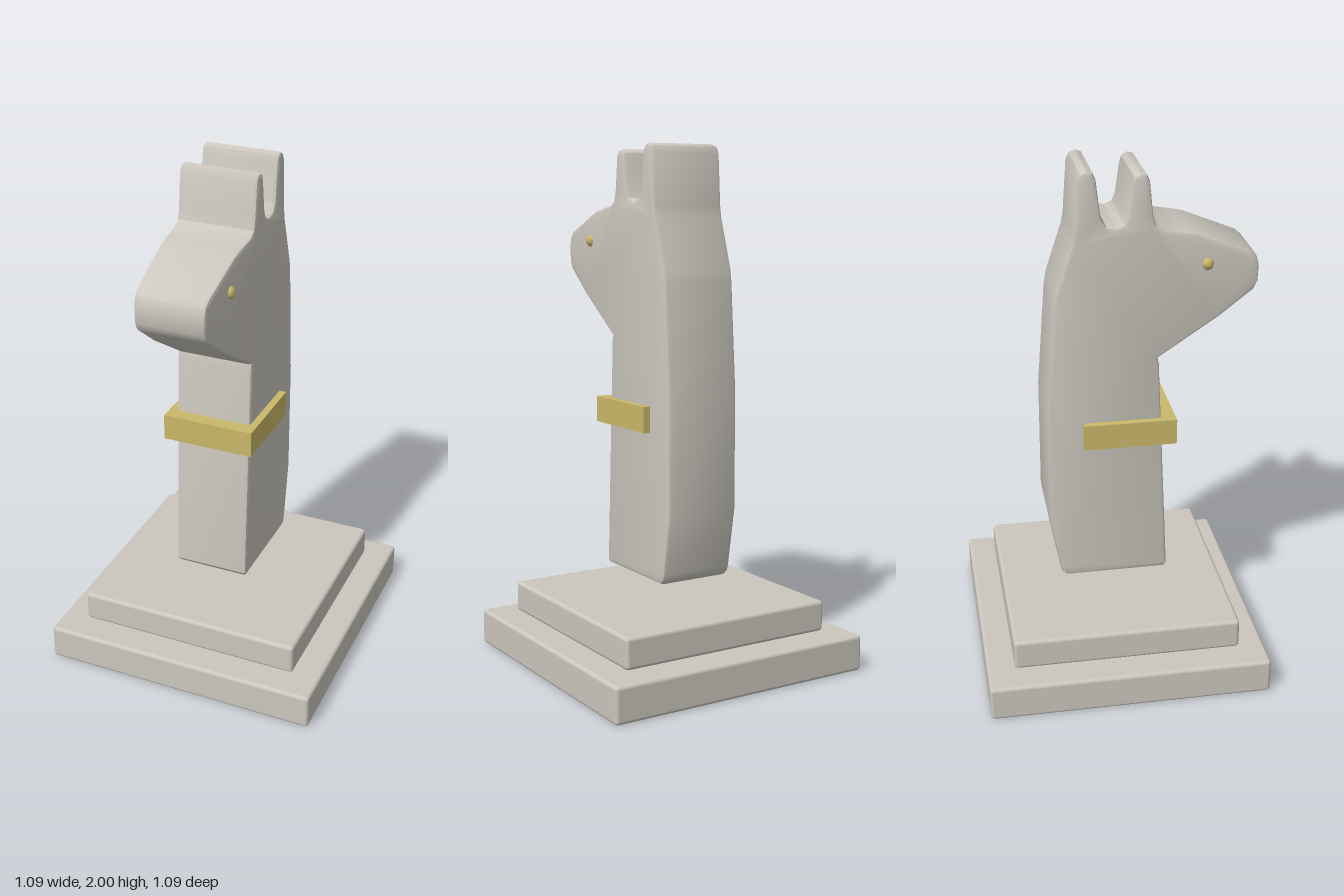
import * as THREE from 'three';
import { toCreasedNormals } from 'three/addons/utils/BufferGeometryUtils.js';
import { RoundedBoxGeometry } from 'three/addons/geometries/RoundedBoxGeometry.js';

export function createModel() {
  const stone = new THREE.MeshStandardMaterial({ color: 0xcbc7be });
  stone.name = 'stone';
  const gold = new THREE.MeshStandardMaterial({ color: 0xcab869 });
  gold.name = 'gold';
  const model = new THREE.Group();
  model.name = 'chessKnight';

  const add = (name, geometry, material, x, y, z) => {
    const mesh = new THREE.Mesh(geometry, material);
    mesh.name = name;
    mesh.position.set(x, y, z);
    model.add(mesh);
    return mesh;
  };

  // Two-step square base
  add('lowerBase', new RoundedBoxGeometry(1.09, 0.14, 1.09, 3, 0.014), stone, 0, 0.07, 0);
  add('upperBase', new RoundedBoxGeometry(0.88, 0.12, 0.88, 3, 0.014), stone, 0, 0.207, 0);

  // Horse silhouette as (z, y): neck front, jaw, muzzle, two ears, back
  const outline = [
    [0.195, 0.36], [0.206, 0.375], [0.163, 1.25], [0.158, 1.275], [0.14, 1.29],
    [0.39, 1.425], [0.515, 1.52], [0.53, 1.55], [0.532, 1.61], [0.522, 1.65], [0.5, 1.67],
    [0.3, 1.75], [0.25, 1.761], [0.17, 1.773], [0.145, 1.79], [0.133, 1.83],
    [0.12, 1.955], [0.108, 1.978], [0.085, 1.983], [0.065, 1.97], [0.057, 1.94],
    [0.042, 1.83], [0.028, 1.8], [0, 1.789], [-0.035, 1.795], [-0.055, 1.825],
    [-0.072, 1.965], [-0.083, 1.992], [-0.105, 2], [-0.128, 1.99], [-0.14, 1.965],
    [-0.153, 1.77], [-0.16, 1.73], [-0.222, 1.54], [-0.23, 1.49],
    [-0.26, 1.08], [-0.26, 0.63], [-0.22, 0.4], [-0.212, 0.375], [-0.195, 0.36],
  ];
  // The jaw corner is replaced by a soft inner curve at the throat
  const points = outline.filter((p) => p[0] !== 0.14).map(([z, y]) => new THREE.Vector2(-z, y));
  const bevel = 0.014;
  let horse = new THREE.ExtrudeGeometry(new THREE.Shape(points), {
    depth: 0.3 - 2 * bevel, bevelEnabled: true, bevelThickness: bevel,
    bevelSize: bevel, bevelOffset: -bevel, bevelSegments: 2,
  });
  horse.translate(0, 0, -0.15 + bevel).rotateY(Math.PI / 2);

  // Narrow the head gently towards the muzzle
  const pos = horse.attributes.position;
  for (let i = 0; i < pos.count; i++) {
    const t = THREE.MathUtils.clamp((pos.getZ(i) - 0.17) / 0.36, 0, 1);
    pos.setX(i, pos.getX(i) * (1 - 0.11 * t));
  }
  horse = toCreasedNormals(horse, 0.6);
  add('horseHeadAndNeck', horse, stone, 0, 0, 0);

  // Collar around the front of the neck
  add('collar', new THREE.BoxGeometry(0.356, 0.1, 0.355), gold, 0, 0.98, 0.052);

  // Small bead eyes
  for (const [name, side] of [['leftEye', 1], ['rightEye', -1]]) {
    add(name, new THREE.SphereGeometry(0.025, 8, 6), gold, side * 0.135, 1.635, 0.337);
  }
  return model;
}
